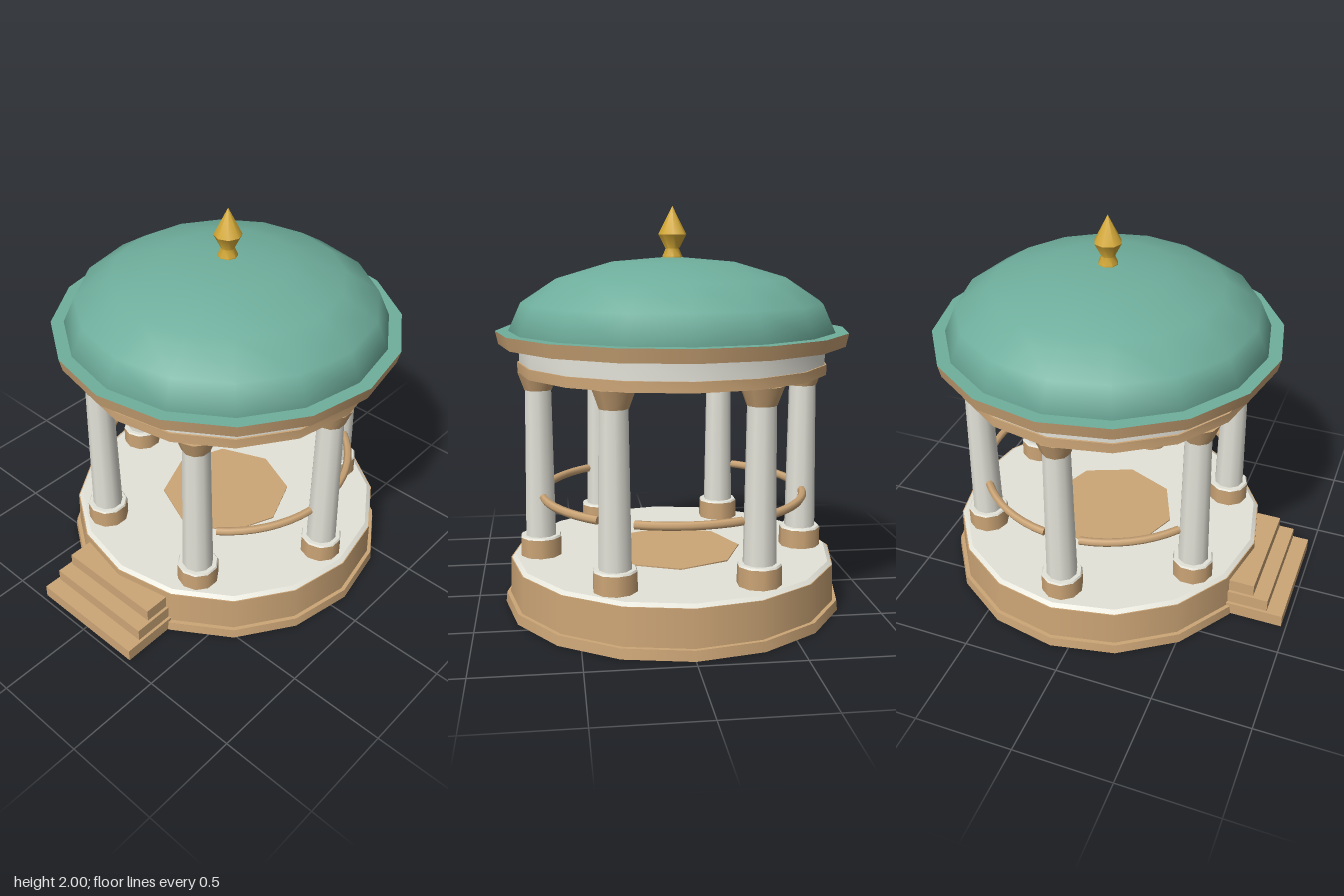
import * as THREE from 'three';
import { toCreasedNormals, mergeGeometries } from 'three/addons/utils/BufferGeometryUtils.js';

const material = (name, color) => {
  const m = new THREE.MeshStandardMaterial({ color });
  m.name = name;
  return m;
};

export function createModel() {
  const stone = material('sandstone', 0xcda677);
  const marble = material('pale marble', 0xe4e3d9);
  const copper = material('green copper', 0x6fae9c);
  const gold = material('gold', 0xd4a937);

  const model = new THREE.Group();
  model.name = 'gardenRotunda';
  const rotunda = new THREE.Group();
  rotunda.name = 'rotunda';
  rotunda.position.z = -0.095;
  model.add(rotunda);

  const add = (parent, name, geometry, mat) => {
    const mesh = new THREE.Mesh(geometry, mat);
    mesh.name = name;
    parent.add(mesh);
    return mesh;
  };
  // Upright cylinder between two heights
  const drum = (parent, name, rBottom, rTop, y0, y1, sides, mat) => {
    const g = new THREE.CylinderGeometry(rTop, rBottom, y1 - y0, sides);
    g.translate(0, (y0 + y1) / 2, 0);
    return add(parent, name, g, mat);
  };
  // Turned part with sharp profile corners but smooth sides
  const turned = (parent, name, points, sides, mat) => {
    const g = new THREE.LatheGeometry(points.map(p => new THREE.Vector2(...p)), sides);
    return add(parent, name, toCreasedNormals(g, 0.82), mat);
  };

  // Stepped platform and floor
  drum(rotunda, 'plinth', 0.86, 0.855, 0, 0.05, 16, stone);
  drum(rotunda, 'platform', 0.835, 0.83, 0.05, 0.235, 16, stone);
  drum(rotunda, 'floor', 0.825, 0.805, 0.235, 0.25, 16, marble);
  drum(rotunda, 'floorMedallion', 0.35, 0.35, 0.25, 0.256, 8, stone);

  // Entrance steps
  [[0.32, 0, 0.067, 0.975], [0.305, 0.067, 0.133, 0.89], [0.29, 0.133, 0.2, 0.81]]
    .forEach(([halfWidth, y0, y1, front], i) => {
      const back = 0.55;
      const g = new THREE.BoxGeometry(halfWidth * 2, y1 - y0, front - back);
      g.translate(0, (y0 + y1) / 2, (front + back) / 2);
      add(model, `step${i + 1}`, g, stone);
    });

  // Ring of six columns
  for (let k = 0; k < 6; k++) {
    const a = k * Math.PI / 3;
    const column = new THREE.Group();
    column.name = `column${k + 1}`;
    column.position.set(0.675 * Math.cos(a), 0, 0.675 * Math.sin(a));
    drum(column, 'columnBase', 0.106, 0.106, 0.25, 0.345, 10, stone);
    drum(column, 'columnBaseTop', 0.106, 0.1, 0.345, 0.354, 10, marble);
    drum(column, 'columnShaft', 0.079, 0.068, 0.35, 1.11, 10, marble);
    drum(column, 'columnCapital', 0.071, 0.104, 1.1, 1.19, 10, stone);
    rotunda.add(column);
  }

  // Curved handrails in every bay but the entrance
  const R = 0.665, r = 0.021, arc = THREE.MathUtils.degToRad(44);
  const startCap = new THREE.CircleGeometry(r, 6).rotateX(Math.PI / 2).translate(R, 0, 0);
  const endCap = new THREE.CircleGeometry(r, 6).rotateX(-Math.PI / 2).translate(R, 0, 0).rotateZ(arc);
  const railGeometry = mergeGeometries([new THREE.TorusGeometry(R, r, 6, 8, arc), startCap, endCap]);
  railGeometry.rotateX(Math.PI / 2);
  for (const k of [0, 2, 3, 4, 5]) {
    const rail = add(rotunda, `handrail${k + 1}`, railGeometry, stone);
    rail.position.y = 0.566;
    rail.rotation.y = -THREE.MathUtils.degToRad(k * 60 + 8);
  }

  // Hollow ring beam carried by the columns
  turned(rotunda, 'architrave',
    [[0.58, 1.19], [0.775, 1.19], [0.775, 1.24], [0.76, 1.24]], 16, stone);
  turned(rotunda, 'frieze', [[0.766, 1.24], [0.766, 1.33]], 16, marble);
  turned(rotunda, 'innerWall', [[0.58, 1.33], [0.58, 1.19]], 16, marble);
  drum(rotunda, 'ceiling', 0.6, 0.6, 1.325, 1.335, 16, marble);

  // Cornice with a copper-covered top
  drum(rotunda, 'cornice', 0.865, 0.88, 1.33, 1.395, 16, [stone, copper, stone]);

  // Dome
  const dome = new THREE.SphereGeometry(0.815, 16, 4, 0, Math.PI * 2, 0, Math.PI / 2);
  dome.scale(1, 0.36 / 0.815, 1).translate(0, 1.395, 0);
  add(rotunda, 'dome', dome, copper);

  // Finial
  turned(rotunda, 'finial',
    [[0.05, 1.74], [0.05, 1.755], [0.034, 1.793], [0.07, 1.863], [0.0005, 2]], 8, gold);

  return model;
}
